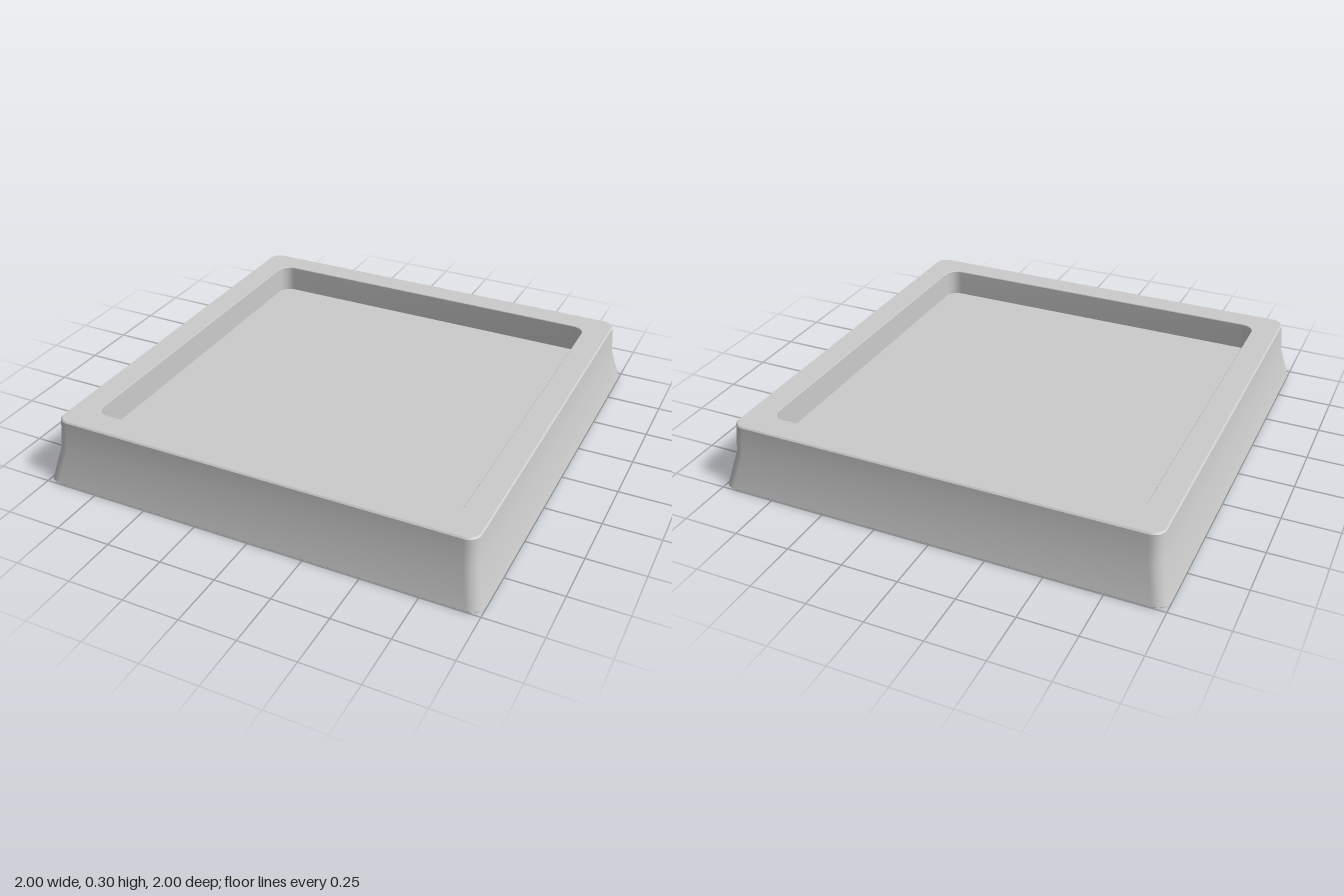
import * as THREE from 'three';
import { toCreasedNormals } from 'three/addons/utils/BufferGeometryUtils.js';

const ARC = 8; // segments per rounded corner

// Rounded square outline at height y
function ring(half, radius, y) {
  const points = [];
  for (let corner = 0; corner < 4; corner++) {
    const mid = (corner + 0.5) * Math.PI / 2;
    const cx = Math.sign(Math.cos(mid)) * (half - radius);
    const cz = Math.sign(Math.sin(mid)) * (half - radius);
    for (let i = 0; i <= ARC; i++) {
      const a = (corner + i / ARC) * Math.PI / 2;
      points.push([cx + radius * Math.cos(a), y, cz + radius * Math.sin(a)]);
    }
  }
  return points;
}

// Skins a sequence of [half, radius, y] sections, closing both ends at the centre
function loft(sections) {
  const rings = sections.map((s) => ring(...s));
  const n = rings[0].length;
  const first = [0, sections[0][2], 0];
  const last = [0, sections[sections.length - 1][2], 0];
  const pos = [];
  const tri = (a, b, c) => pos.push(...a, ...b, ...c);
  for (let j = 0; j < n; j++) {
    const k = (j + 1) % n;
    tri(first, rings[0][j], rings[0][k]);
    for (let i = 0; i < rings.length - 1; i++) {
      const lo = rings[i], hi = rings[i + 1];
      tri(lo[j], hi[j], lo[k]);
      tri(hi[j], hi[k], lo[k]);
    }
    const end = rings[rings.length - 1];
    tri(end[j], last, end[k]);
  }
  const geometry = new THREE.BufferGeometry();
  geometry.setAttribute('position', new THREE.Float32BufferAttribute(pos, 3));
  return toCreasedNormals(geometry, 0.4);
}

export function createModel() {
  const group = new THREE.Group();
  group.name = 'squareTray';

  // Flared outer wall, flat rim, straight recess wall and floor
  const tray = new THREE.Mesh(
    loft([
      [0.995, 0.055, 0],
      [1, 0.06, 0.006],
      [0.96, 0.055, 0.16],
      [0.95, 0.055, 0.294],
      [0.944, 0.05, 0.3],
      [0.832, 0.06, 0.3],
      [0.83, 0.06, 0.297],
      [0.83, 0.06, 0.172],
    ]),
    new THREE.MeshStandardMaterial({ color: 0xcccccc })
  );
  tray.name = 'trayBody';
  group.add(tray);
  return group;
}
